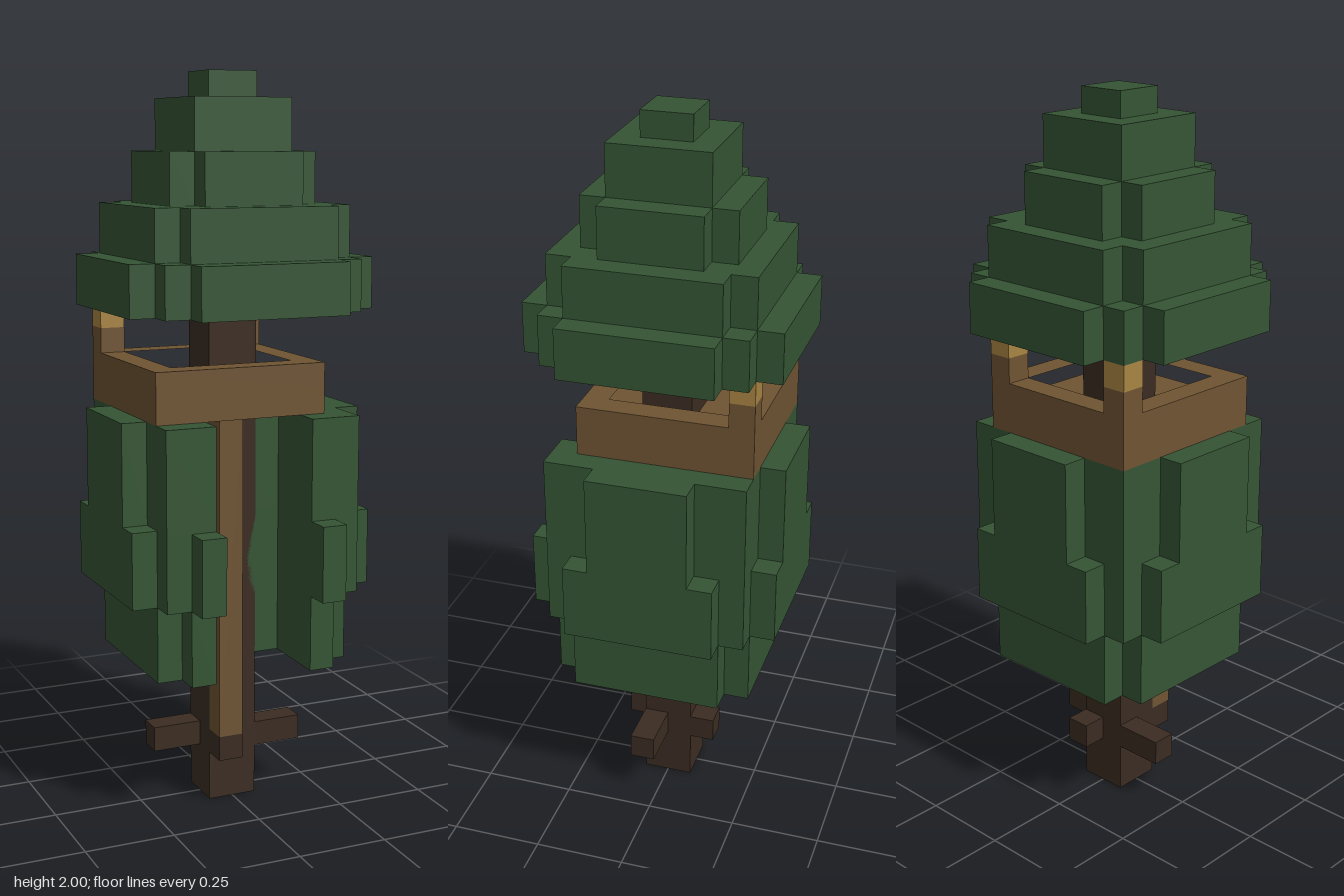
import * as THREE from 'three';

const U = 2 / 29; // one block

const mat = (name, color) => {
  const m = new THREE.MeshStandardMaterial({ color });
  m.name = name;
  return m;
};

export function createModel() {
  const leaf = mat('leaf green', 0x355534);
  const bark = mat('dark bark', 0x3b2c22);
  const plank = mat('plank brown', 0x6f5433);
  const glow = mat('torch gold', 0xa88443);

  const model = new THREE.Group();
  model.name = 'treehouse';

  const add = (name, geometry, material) => {
    const mesh = new THREE.Mesh(geometry, material);
    mesh.name = name;
    model.add(mesh);
  };

  // Box between two corners, in blocks
  const box = (name, material, [x0, y0, z0], [x1, y1, z1]) => {
    const g = new THREE.BoxGeometry(x1 - x0, y1 - y0, z1 - z0);
    g.translate((x0 + x1) / 2, (y0 + y1) / 2, (z0 + z1) / 2);
    add(name, g.scale(U, U, U), material);
  };

  const extrudeUp = (shape, y0, y1) =>
    new THREE.ExtrudeGeometry(shape, { depth: y1 - y0, bevelEnabled: false })
      .rotateX(-Math.PI / 2).translate(0, y0, 0).scale(U, U, U);

  // Stepped foliage layer, mirrored from one quarter; slot opens the front for the ladder
  const foliage = (name, y0, y1, corners, slot = false) => {
    const q = [];
    corners.forEach((c, i) => {
      q.push(c);
      if (corners[i + 1]) q.push([corners[i + 1][0], c[1]]);
    });
    const front = slot ? q.filter(([x]) => x > 2) : q;
    const depth = front[front.length - 1][1];
    const points = [
      ...q,
      ...q.map(([x, y]) => [-x, y]).reverse(),
      ...front.map(([x, y]) => [-x, -y]),
      ...(slot ? [[-2, -depth], [-2, -1], [2, -1], [2, -depth]] : []),
      ...front.map(([x, y]) => [x, -y]).reverse(),
    ];
    const shape = new THREE.Shape(points.map(([x, y]) => new THREE.Vector2(x, y)));
    add(name, extrudeUp(shape, y0, y1), leaf);
  };

  // Trunk with four roots set as a pinwheel
  box('trunk', bark, [-1, 0, -1], [1, 20, 1]);
  box('leftRoot', bark, [1, 2, 0], [3, 3, 1]);
  box('rightRoot', bark, [-3, 2, -1], [-1, 3, 0]);
  box('frontRoot', bark, [-1, 2, 1], [0, 3, 2]);
  box('backRoot', bark, [0, 2, -2], [1, 3, -1]);

  // Climbing pole up to the platform
  box('ladder', plank, [-1, 3, 1], [0, 16, 2]);

  // Lower foliage, open at the front
  foliage('lowerFoliageBottom', 6, 9, [[4, 3], [3, 4]], true);
  foliage('lowerFoliageMiddle', 9, 12, [[5, 3], [4, 4], [3, 5]], true);
  foliage('lowerFoliageTop', 12, 16, [[5, 2], [4, 4], [2, 5]], true);

  // Lookout platform: floor and raised rim
  box('platformFloor', plank, [-4, 16, -4], [3, 17, 3]);
  const square = (a, b) => [[a, a], [b, a], [b, b], [a, b]].map(([x, z]) => new THREE.Vector2(x, -z));
  const rim = new THREE.Shape(square(-4, 3));
  rim.holes.push(new THREE.Path(square(-3, 2)));
  add('platformRim', extrudeUp(rim, 17, 18), plank);

  // Torches on the back corners
  for (const x of [-4, 2]) {
    box('torchPost', plank, [x, 18, -4], [x + 1, 19, -3]);
    box('torchFlame', glow, [x, 19, -4], [x + 1, 20, -3]);
  }

  // Tapering crown
  foliage('crownBase', 20, 22, [[5, 3], [4, 4], [3, 5]]);
  foliage('crownLower', 22, 24, [[4, 3], [3, 4]]);
  foliage('crownMiddle', 24, 26, [[3, 2], [2, 3]]);
  foliage('crownUpper', 26, 28, [[2, 2]]);
  foliage('crownTip', 28, 29, [[1, 1]]);

  return model;
}
